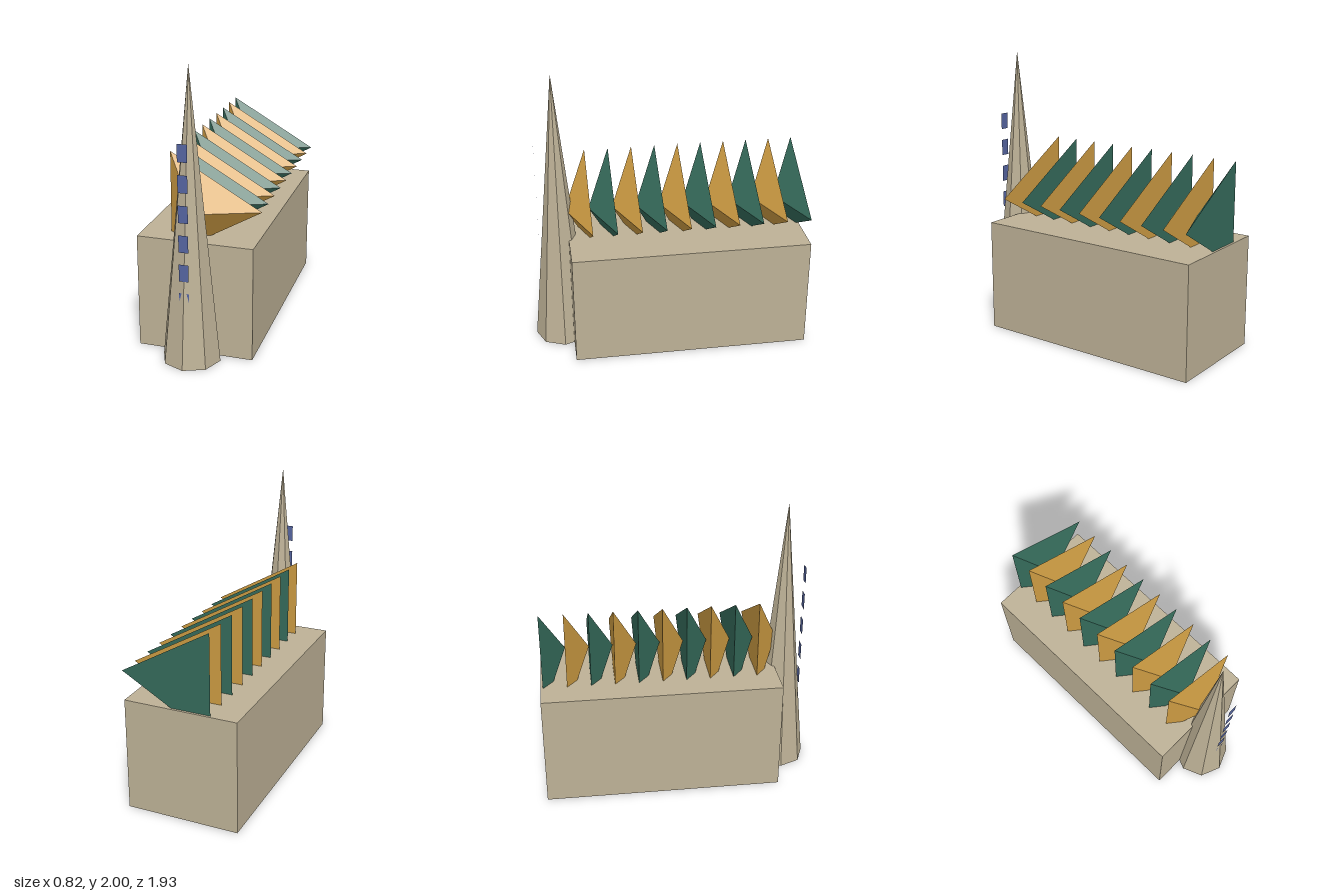
import * as THREE from 'three';

const stone = new THREE.MeshStandardMaterial({ name: 'stone', color: 0xbdb196 });
const amber = new THREE.MeshStandardMaterial({ name: 'amber', color: 0xcb9a42 });
const green = new THREE.MeshStandardMaterial({ name: 'green', color: 0x356a5a });
const blue = new THREE.MeshStandardMaterial({ name: 'windowBlue', color: 0x5565a0, side: THREE.DoubleSide });

const AXIS_X = -0.01;

// Cone with flat facets
function facetedCone(radius, height, sides) {
  const g = new THREE.ConeGeometry(radius, height, sides).toNonIndexed();
  g.computeVertexNormals();
  return g;
}

export function createModel() {
  const model = new THREE.Group();
  model.name = 'church';
  const add = (name, geometry, material, x, y, z) => {
    const mesh = new THREE.Mesh(geometry, material);
    mesh.name = name;
    mesh.position.set(x, y, z);
    model.add(mesh);
  };

  // Main hall
  add('hall', new THREE.BoxGeometry(0.8, 0.8, 1.667), stone, AXIS_X, 0.4, -0.133);

  // Eight-sided spire standing at the front
  add('spire', facetedCone(0.2, 2, 8), stone, AXIS_X, 1, 0.767);

  // Row of three-sided pyramids along the roof, points forward, one corner to +x
  const step = 1.667 / 10;
  const fin = facetedCone(0.417, step, 3).rotateX(Math.PI / 2).rotateZ(Math.PI / 2);
  for (let i = 0; i < 10; i++) {
    add('roofFin' + (i + 1), fin, i % 2 ? amber : green, AXIS_X, 1, -0.95 + step * (i + 0.5));
  }

  // Column of flat windows in front of the spire, the lowest partly sunk in
  const pane = new THREE.PlaneGeometry(0.066, 0.117);
  for (let i = 0; i < 6; i++) {
    add('window' + (i + 1), pane, blue, AXIS_X, 0.47 + i * 0.2, 0.907);
  }

  return model;
}
